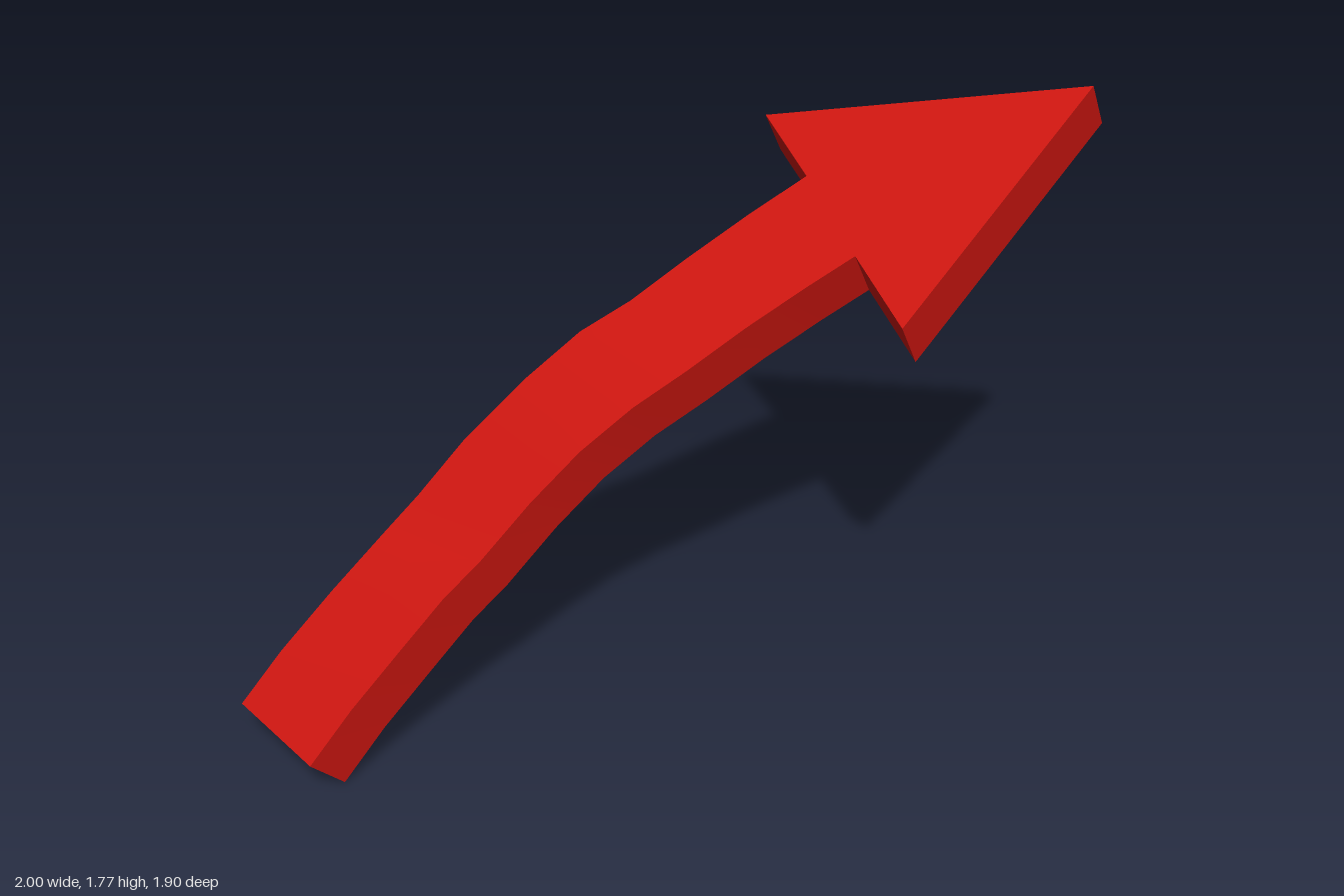
import * as THREE from 'three';
import { toCreasedNormals } from 'three/addons/utils/BufferGeometryUtils.js';

// Collects corners of flat faces, listed counter-clockwise from outside
function faceBuilder() {
  const out = [];
  const tri = (...c) => c.forEach((p) => out.push(...p));
  const quad = (a, b, c, d) => { tri(a, b, c); tri(a, c, d); };
  const build = (name, material) => {
    const g = new THREE.BufferGeometry();
    g.setAttribute('position', new THREE.Float32BufferAttribute(out, 3));
    const mesh = new THREE.Mesh(toCreasedNormals(g, Math.PI / 6), material);
    mesh.name = name;
    return mesh;
  };
  return { tri, quad, build };
}

// Point on the back face: the thickness vector turns slightly from tail (t=0) to head (t=1)
const lerp = THREE.MathUtils.lerp;
const behind = ([x, y, z], t) => [
  x + lerp(0.042, 0.021, t), y - lerp(0.118, 0.138, t), z - lerp(0.102, 0.085, t),
];

// Left and right edges of the shaft's front face, from tail to head
const edgeA = [
  [-1, 0.145, 0.8], [-0.92, 0.285, 0.69], [-0.82, 0.435, 0.55], [-0.72, 0.575, 0.405],
  [-0.655, 0.665, 0.3], [-0.565, 0.805, 0.16], [-0.44, 0.955, 0.01], [-0.31, 1.085, -0.11],
  [-0.19, 1.165, -0.21], [-0.06, 1.275, -0.33], [0.08, 1.385, -0.465], [0.215, 1.483, -0.59],
];
const edgeB = [
  [-0.675, 0.123, 0.95], [-0.6, 0.26, 0.83], [-0.51, 0.4, 0.7], [-0.425, 0.53, 0.58],
  [-0.355, 0.615, 0.485], [-0.26, 0.755, 0.345], [-0.16, 0.88, 0.22], [-0.045, 0.99, 0.105],
  [0.075, 1.08, -0.005], [0.205, 1.185, -0.13], [0.34, 1.285, -0.25], [0.455, 1.367, -0.34],
];

function makeShaft(material) {
  const f = faceBuilder();
  const last = edgeA.length - 1;
  const rings = edgeA.map((a, i) => {
    const b = edgeB[i], t = i / last;
    return [a, b, behind(b, t), behind(a, t)];
  });
  for (let i = 0; i < last; i++) {
    for (let k = 0; k < 4; k++) {
      const n = (k + 1) % 4;
      f.quad(rings[i][k], rings[i][n], rings[i + 1][n], rings[i + 1][k]);
    }
  }
  // Tail end cap
  const [a, b, c, d] = rings[0];
  f.quad(b, a, d, c);
  return f.build('shaft', material);
}

function makeHead(material) {
  const f = faceBuilder();
  // Tip, left barb, two notches where the shaft joins, right barb
  const front = [
    [0.98, 1.777, -0.87], [0.01, 1.58, -0.785], edgeA.at(-1), edgeB.at(-1), [0.665, 1.27, -0.132],
  ];
  const back = front.map((p) => behind(p, 1));
  for (let i = 1; i < 4; i++) {
    f.tri(front[0], front[i], front[i + 1]);
    f.tri(back[0], back[i + 1], back[i]);
  }
  // Rim, left open where the shaft enters
  for (let i = 0; i < 5; i++) {
    const n = (i + 1) % 5;
    if (i !== 2) f.quad(front[i], back[i], back[n], front[n]);
  }
  return f.build('arrowHead', material);
}

export function createModel() {
  const group = new THREE.Group();
  group.name = 'curvedArrow';
  const red = new THREE.MeshStandardMaterial({ color: 0xcc1610 });
  group.add(makeShaft(red), makeHead(red));
  return group;
}
